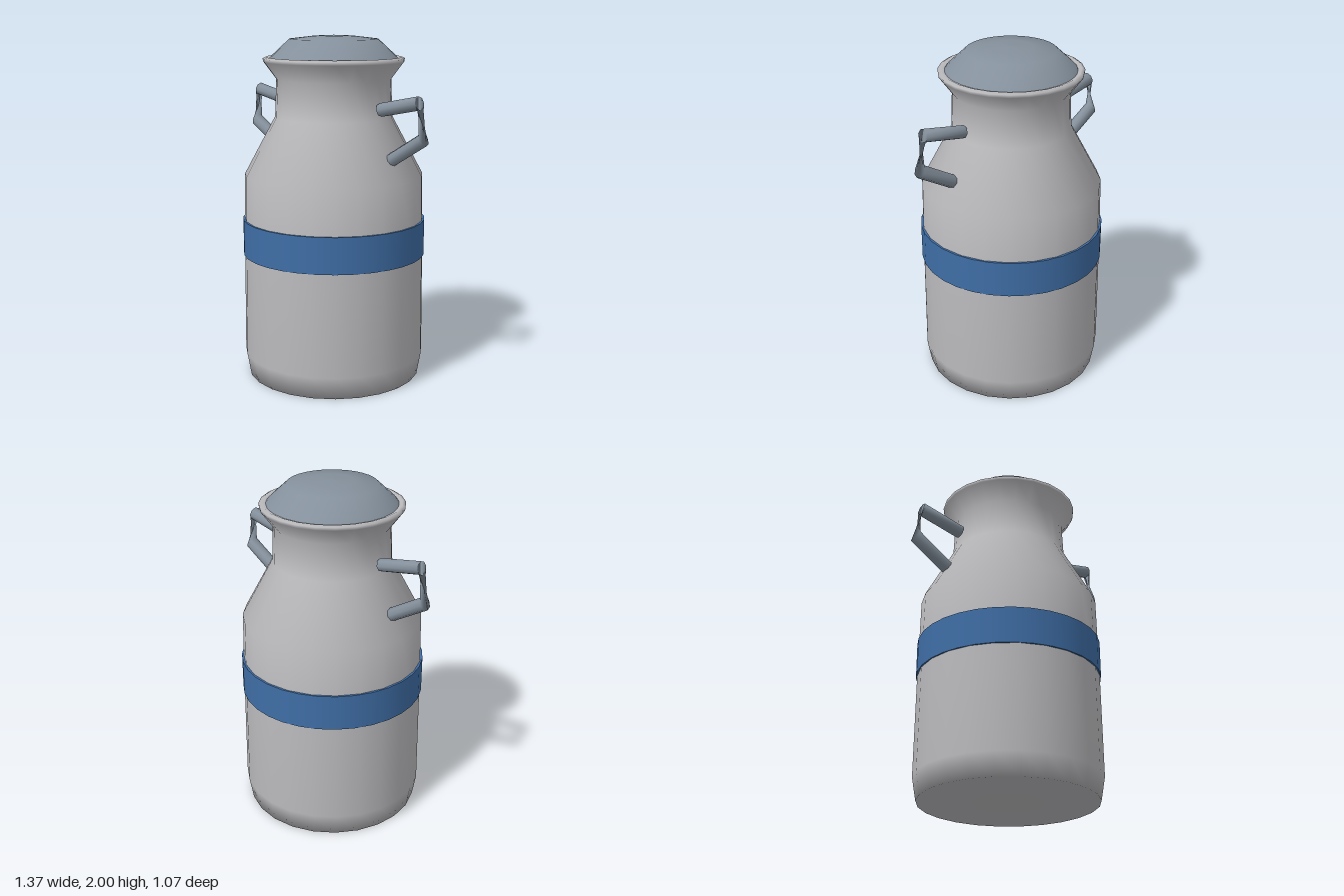
import * as THREE from 'three';

const paint = (name, color) => {
  const m = new THREE.MeshStandardMaterial({ color });
  m.name = name;
  return m;
};

// Surface of revolution from [radius, height] pairs, listed bottom to top
function turned(name, profile, segments, material) {
  const points = profile.map(([r, y]) => new THREE.Vector2(r, y));
  const mesh = new THREE.Mesh(new THREE.LatheGeometry(points, segments), material);
  mesh.name = name;
  return mesh;
}

// Bent bar: two straight rods joined by a link that makes a half twist
function handleGeometry() {
  const sides = 8, radius = 0.038;
  const rings = [
    { at: [0.36, 1.598], along: [0.27, 0.057], turn: 0 },
    { at: [0.635, 1.655], along: [0.27, 0.057], turn: 0 },
    { at: [0.667, 1.461], along: [-0.222, -0.133], turn: Math.PI },
    { at: [0.445, 1.328], along: [-0.222, -0.133], turn: Math.PI },
  ];
  const positions = [], index = [];
  const addRing = ({ at, along, turn }) => {
    const start = positions.length / 3;
    const len = Math.hypot(...along);
    const ux = -along[1] / len, uy = along[0] / len;
    for (let j = 0; j < sides; j++) {
      const a = (j / sides) * Math.PI * 2 + turn;
      const c = Math.cos(a) * radius;
      positions.push(at[0] + ux * c, at[1] + uy * c, Math.sin(a) * radius);
    }
    return start;
  };
  const starts = rings.map(addRing);
  for (let i = 0; i < starts.length - 1; i++) {
    for (let j = 0; j < sides; j++) {
      const k = (j + 1) % sides;
      const a = starts[i] + j, b = starts[i] + k;
      const c = starts[i + 1] + j, d = starts[i + 1] + k;
      index.push(a, b, c, b, d, c);
    }
  }
  // Flat end caps with their own vertices
  const first = addRing(rings[0]), last = addRing(rings[3]);
  for (let j = 1; j < sides - 1; j++) {
    index.push(first, first + j + 1, first + j);
    index.push(last, last + j, last + j + 1);
  }
  const g = new THREE.BufferGeometry();
  g.setAttribute('position', new THREE.Float32BufferAttribute(positions, 3));
  g.setIndex(index);
  g.computeVertexNormals();
  return g;
}

export function createModel() {
  const can = new THREE.Group();
  can.name = 'milkCan';
  const silver = paint('light metal', 0xbbbbbe);
  const steel = paint('blue grey metal', 0x84909c);
  const blue = paint('blue band', 0x3f6ea6);
  steel.side = THREE.DoubleSide;

  // Body with shoulder, neck and flared rim
  can.add(turned('body', [
    [0, 0], [0.51, 0], [0.533, 0.13], [0.528, 0.73], [0.52, 1.2],
    [0.34, 1.535], [0.331, 1.75], [0.405, 1.85], [0.408, 1.868],
    [0.39, 1.877], [0.365, 1.868],
  ], 24, silver));

  // Lid with a sloped edge and shallow crown
  can.add(turned('lid', [
    [0.372, 1.865], [0.355, 1.885], [0.255, 1.978], [0.12, 1.994], [0, 2],
  ], 32, steel));

  // Painted band around the belly
  const band = new THREE.Mesh(new THREE.CylinderGeometry(0.535, 0.535, 0.21, 32), blue);
  band.position.y = 0.835;
  band.name = 'band';
  can.add(band);

  // Pair of side handles
  const bar = handleGeometry();
  for (const [name, turn] of [['leftHandle', 0], ['rightHandle', Math.PI]]) {
    const handle = new THREE.Mesh(bar, steel);
    handle.rotation.y = turn;
    handle.name = name;
    can.add(handle);
  }
  return can;
}
